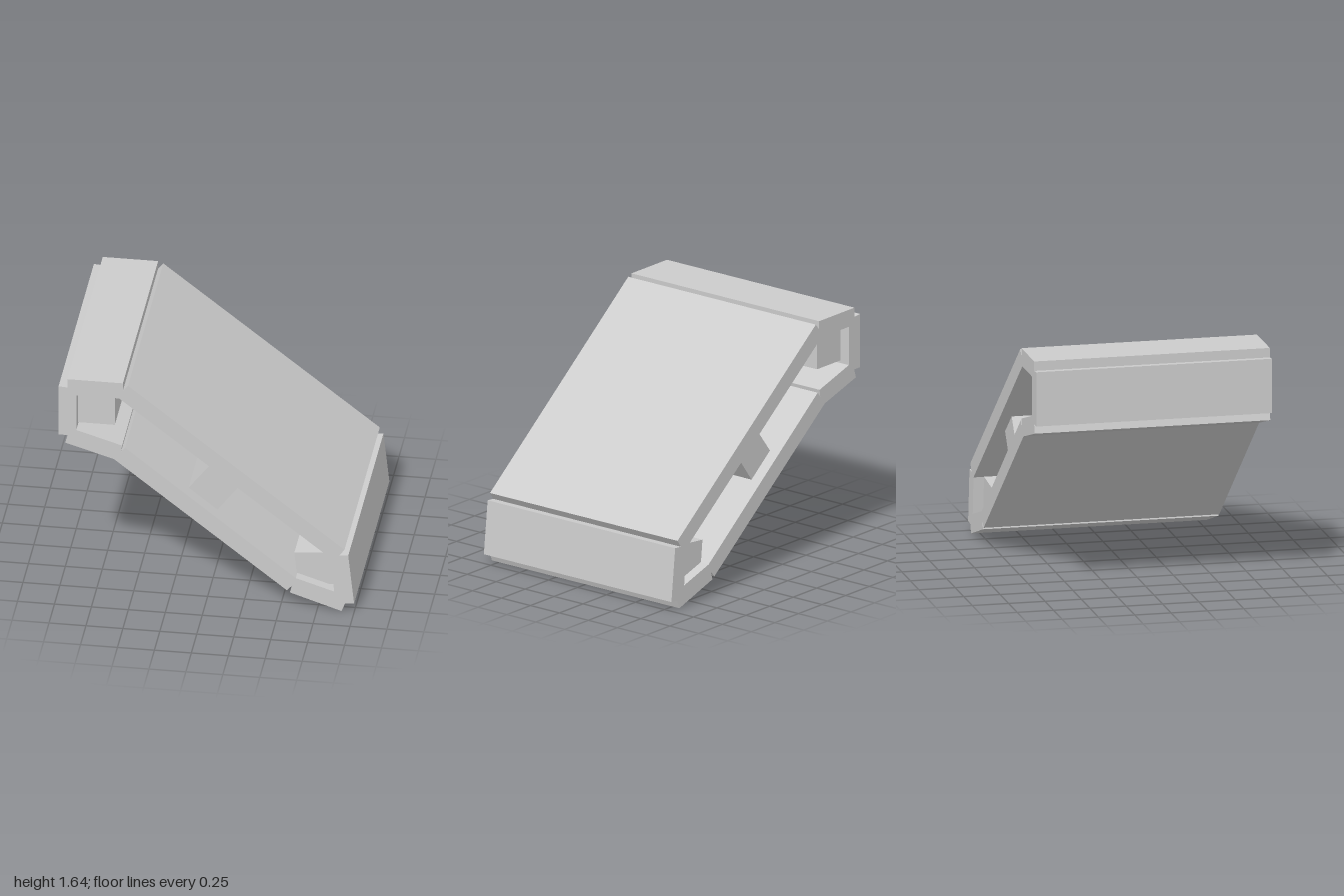
import * as THREE from 'three';

const material = new THREE.MeshStandardMaterial({ color: 0xcccccc, flatShading: true });
const toPoints = (pairs) => pairs.map(([x, y]) => new THREE.Vector2(x, y));

// Extrudes a side profile along z, centred on z = 0
function extrudeProfile(name, shape, depth) {
  const geometry = new THREE.ExtrudeGeometry(shape, { depth, bevelEnabled: false });
  geometry.translate(0, 0, -depth / 2);
  const mesh = new THREE.Mesh(geometry, material);
  mesh.name = name;
  return mesh;
}

export function createModel() {
  const model = new THREE.Group();
  model.name = 'trackLoop';

  // Belt of six flat links, notched where the links meet
  const belt = new THREE.Shape(toPoints([
    [-0.94, 1.65], [-0.565, 1.65], [-0.565, 1.593],  // top link
    [-0.53, 1.635], [0.935, 0.485], [0.9, 0.435],    // long upper slope
    [0.96, 0.44], [1, 0.07], [0.938, 0.065],         // front end
    [0.915, 0.005], [0.565, 0.12], [0.583, 0.178],   // lower front link
    [0.545, 0.135], [-0.625, 1.055],                 // long lower slope
    [-0.955, 1.155], [-0.937, 1.215],                // lower rear link
    [-1, 1.215], [-1, 1.59], [-0.94, 1.585],         // rear end
  ]));
  belt.holes.push(new THREE.Path(toPoints([
    [-0.88, 1.53], [-0.88, 1.26], [-0.57, 1.165], [-0.578, 1.115], [-0.55, 1.15],
    [0.605, 0.235], [0.865, 0.153], [0.842, 0.41], [-0.59, 1.53],
  ])));
  model.add(extrudeProfile('belt', belt, 1.62));

  // Square cross beams inside the belt, slightly shorter than it
  const beams = {
    rearBeam: [[-0.88, 1.53], [-0.88, 1.28], [-0.63, 1.28], [-0.63, 1.53]],
    middleBeam: [[0.02, 1.03], [-0.13, 0.835], [0.065, 0.68], [0.215, 0.88]],
    frontBeam: [[0.585, 0.39], [0.61, 0.147], [0.855, 0.17], [0.832, 0.413]],
  };
  for (const [name, corners] of Object.entries(beams)) {
    model.add(extrudeProfile(name, new THREE.Shape(toPoints(corners)), 1.48));
  }
  return model;
}
